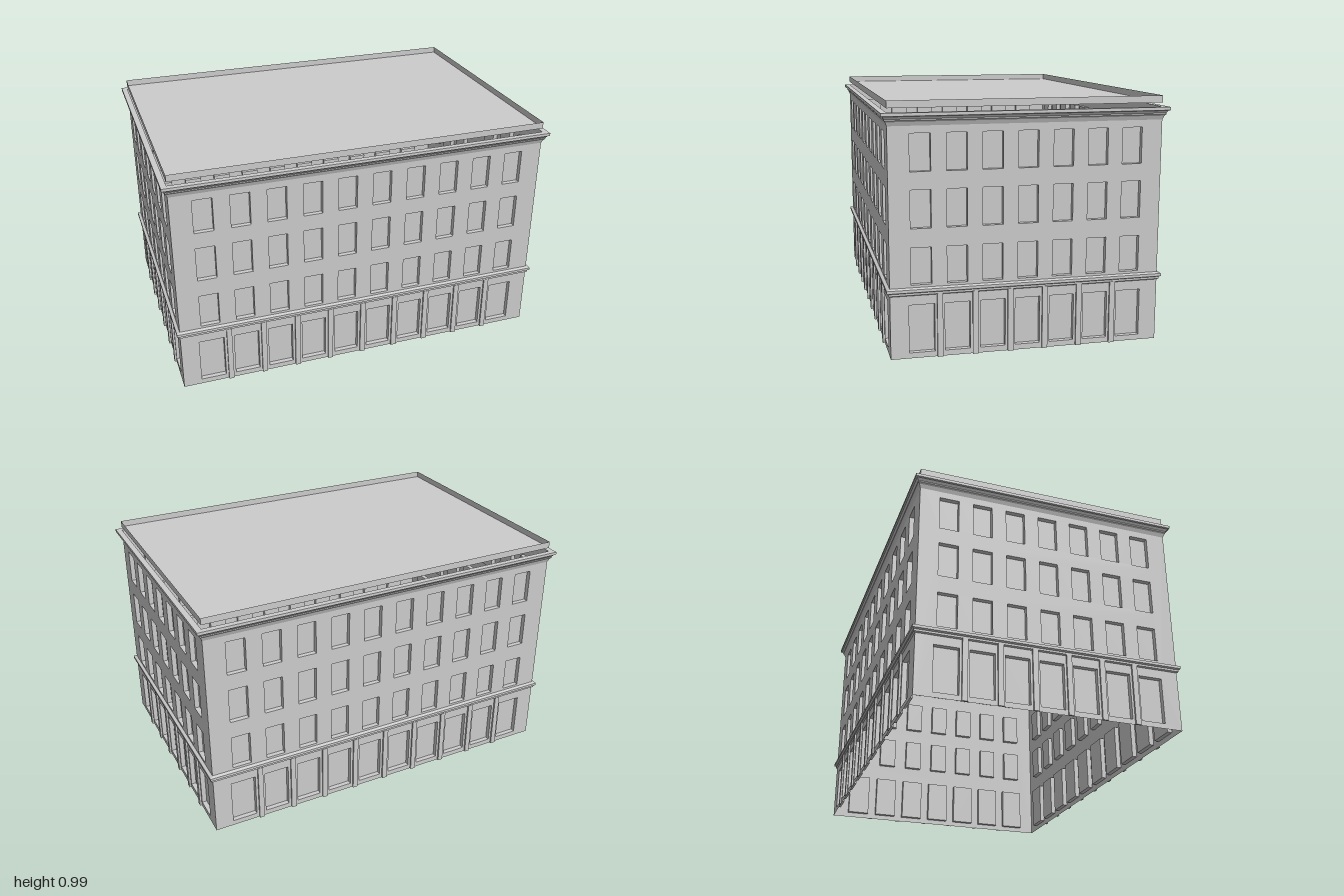
import * as THREE from 'three';

const LENGTH = 1.6, WIDTH = 1.085, TOP = 0.95, RECESS = 0.02;

const stone = new THREE.MeshStandardMaterial({ color: 0xcccccc, side: THREE.DoubleSide });
stone.name = 'pale grey stone';

function add(parent, geometry, name, x = 0, y = 0, z = 0) {
  const mesh = new THREE.Mesh(geometry, stone);
  mesh.name = name;
  mesh.position.set(x, y, z);
  parent.add(mesh);
  return mesh;
}

// Mitred moulding: a profile of [offset from wall, height] run around the building
function moulding(profile) {
  const pos = [];
  const corner = ([d, y], k) => {
    const sx = [-1, 1, 1, -1][k % 4], sz = [1, 1, -1, -1][k % 4];
    return [sx * (LENGTH / 2 + d), y, sz * (WIDTH / 2 + d)];
  };
  for (let i = 0; i < profile.length - 1; i++) {
    for (let k = 0; k < 4; k++) {
      const a = corner(profile[i], k), b = corner(profile[i], k + 1);
      const c = corner(profile[i + 1], k + 1), d = corner(profile[i + 1], k);
      pos.push(...a, ...b, ...c, ...a, ...c, ...d);
    }
  }
  const g = new THREE.BufferGeometry();
  g.setAttribute('position', new THREE.Float32BufferAttribute(pos, 3));
  g.computeVertexNormals();
  return g;
}

// Box without its front face: the reveal and pane of one opening
function recessGeometry(w, h) {
  const g = new THREE.BoxGeometry(w, h, RECESS);
  const index = Array.from(g.index.array);
  index.splice(24, 6);
  g.setIndex(index);
  g.clearGroups();
  return g;
}

// One facade in its own plane, facing +z
function facade(width, count, spacing, groundWidth) {
  const group = new THREE.Group();
  const rows = [
    { y0: 0.022, y1: 0.213, w: groundWidth, name: 'shopWindow' },
    { y0: 0.292, y1: 0.437, w: 0.08, name: 'window' },
    { y0: 0.511, y1: 0.659, w: 0.08, name: 'window' },
    { y0: 0.728, y1: 0.872, w: 0.08, name: 'window' },
  ];
  const wall = new THREE.Shape();
  wall.moveTo(-width / 2, 0).lineTo(width / 2, 0).lineTo(width / 2, TOP).lineTo(-width / 2, TOP);
  wall.closePath();
  for (const { y0, y1, w, name } of rows) {
    const geometry = recessGeometry(w, y1 - y0);
    for (let i = 0; i < count; i++) {
      const x = (i - (count - 1) / 2) * spacing;
      const hole = new THREE.Path();
      hole.moveTo(x - w / 2, y0).lineTo(x - w / 2, y1).lineTo(x + w / 2, y1).lineTo(x + w / 2, y0);
      hole.closePath();
      wall.holes.push(hole);
      add(group, geometry, name, x, (y0 + y1) / 2, -RECESS / 2);
    }
  }
  add(group, new THREE.ShapeGeometry(wall), 'wall');

  // Slim pilasters between the ground floor bays
  const pilaster = new THREE.BoxGeometry(0.022, 0.256, 0.008);
  for (let i = 1; i < count; i++) {
    add(group, pilaster, 'pilaster', (i - count / 2) * spacing, 0.128, 0.004);
  }
  return group;
}

export function createModel() {
  const model = new THREE.Group();
  model.name = 'cornerBuilding';
  const building = new THREE.Group();
  building.name = 'building';
  building.rotation.y = -0.565;
  model.add(building);

  // Four facades, opposite ones alike
  for (let k = 0; k < 4; k++) {
    const long = k % 2 === 0;
    const f = long ? facade(LENGTH, 10, 0.149, 0.106) : facade(WIDTH, 7, 0.14, 0.1);
    f.name = long ? 'longFacade' : 'shortFacade';
    const turn = k * Math.PI / 2, reach = (long ? WIDTH : LENGTH) / 2;
    f.rotation.y = turn;
    f.position.set(Math.sin(turn) * reach, 0, Math.cos(turn) * reach);
    building.add(f);
  }

  // Belt course above the ground floor
  add(building, moulding([
    [0, 0.25], [0.006, 0.254], [0.006, 0.262], [0.013, 0.266], [0.013, 0.277], [0, 0.282],
  ]), 'beltCourse');

  // Stepped cornice under the roof
  add(building, moulding([
    [0, 0.9], [0.006, 0.915], [0.011, 0.921], [0.011, 0.926],
    [0.018, 0.936], [0.024, 0.938], [0.024, TOP], [0, TOP],
  ]), 'cornice');

  // Raised roof deck with a thin rim
  const deck = new THREE.PlaneGeometry(LENGTH, WIDTH).rotateX(-Math.PI / 2);
  add(building, deck, 'roofDeck', 0, 0.967, 0);
  add(building, moulding([[0, 0.966], [0, 0.994]]), 'roofRim');

  return model;
}
